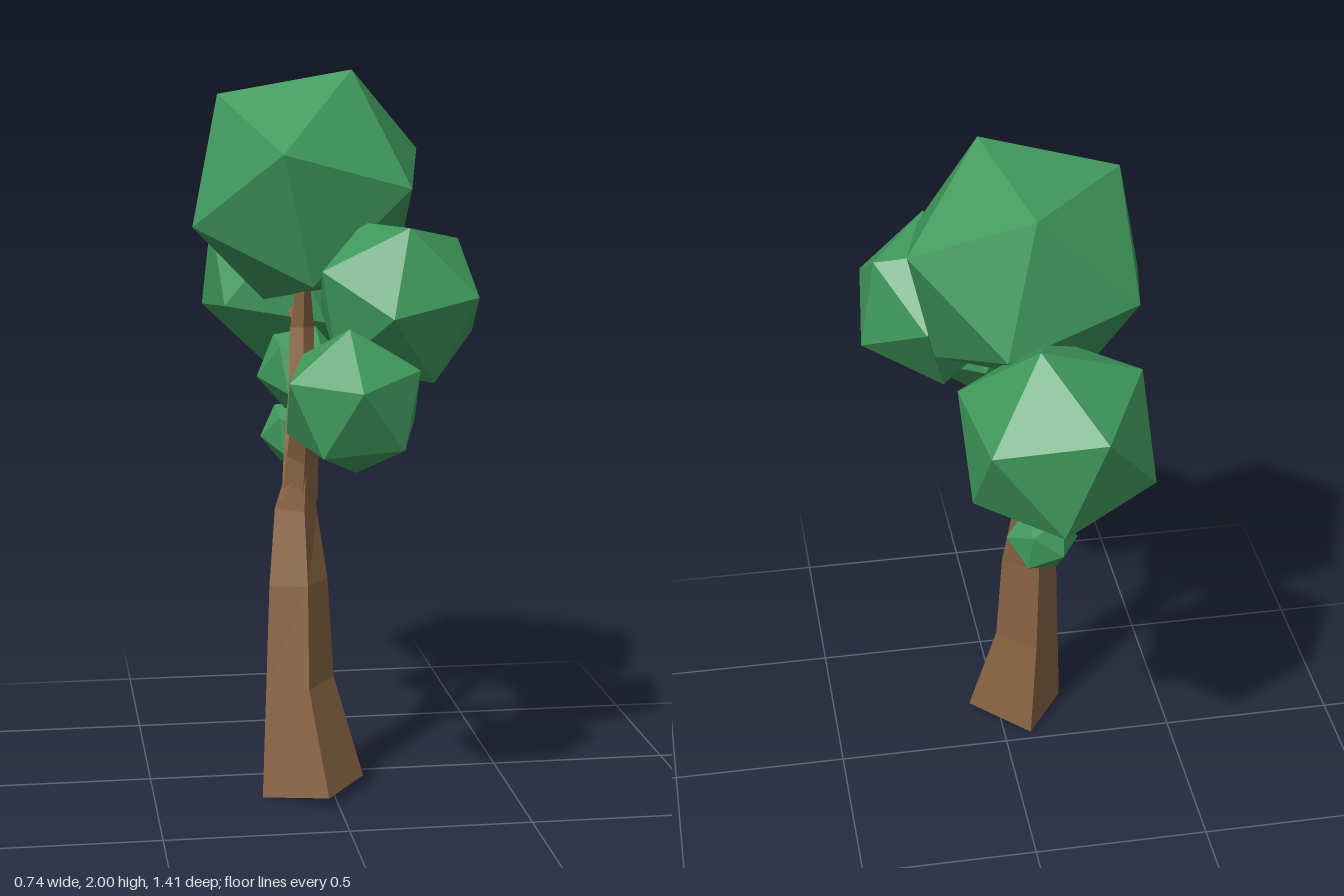
import * as THREE from 'three';

const V = (p) => new THREE.Vector3(...p);
const bark = new THREE.MeshStandardMaterial({ color: 0x8a6544, flatShading: true });
const leaf = new THREE.MeshStandardMaterial({ color: 0x3f985b, flatShading: true });

// Skin a list of four-cornered rings, closed at both ends
function loft(name, rings) {
  const pos = [];
  const quad = (a, b, c, d) => [a, b, c, a, c, d].forEach((p) => pos.push(p.x, p.y, p.z));
  for (let r = 0; r < rings.length - 1; r++) {
    for (let i = 0; i < 4; i++) {
      const j = (i + 1) % 4;
      quad(rings[r][i], rings[r][j], rings[r + 1][j], rings[r + 1][i]);
    }
  }
  quad(...[...rings[0]].reverse());
  quad(...rings[rings.length - 1]);
  const geo = new THREE.BufferGeometry();
  geo.setAttribute('position', new THREE.Float32BufferAttribute(pos, 3));
  geo.computeVertexNormals();
  const mesh = new THREE.Mesh(geo, bark);
  mesh.name = name;
  return mesh;
}

// Tapered four-sided branch; each point is x, y, z, radius
function limb(name, pts) {
  const axis = pts.map((p) => V(p.slice(0, 3)));
  return loft(name, axis.map((c, i) => {
    const d = axis[Math.min(i + 1, axis.length - 1)].clone()
      .sub(axis[Math.max(i - 1, 0)]).normalize();
    const v = d.clone().cross(V([1, 0, 0])).normalize();
    const u = v.clone().cross(d);
    const r = pts[i][3];
    return [[u, r], [v, r], [u, -r], [v, -r]].map(([e, s]) => c.clone().addScaledVector(e, s));
  }));
}

// Orthonormal frame from two directions
function frame(a, b) {
  const x = V(a).normalize();
  const z = x.clone().cross(V(b)).normalize();
  return new THREE.Matrix4().makeBasis(x, z.clone().cross(x), z);
}

// Icosahedral leaf clump, turned so two neighbouring corners point along a and b
function clump(name, centre, radius, a, b) {
  const t = (1 + Math.sqrt(5)) / 2;
  const geo = new THREE.IcosahedronGeometry(radius, 0);
  geo.applyMatrix4(frame(a, b).multiply(frame([-1, t, 0], [1, t, 0]).transpose()));
  const mesh = new THREE.Mesh(geo, leaf);
  mesh.position.set(...centre);
  mesh.name = name;
  return mesh;
}

export function createModel() {
  const tree = new THREE.Group();
  tree.name = 'tree';

  // Trunk: corners run front, +x side, back, -x side
  const trunkRings = [
    [[-0.03, 0.03, 0.32], [0.09, 0.035, 0.155], [-0.08, 0, 0.03], [-0.2, 0, 0.2]],
    [[-0.075, 0.32, 0.245], [0.01, 0.32, 0.127], [-0.1, 0.3, 0.053], [-0.185, 0.3, 0.165]],
    [[-0.072, 0.6, 0.2], [-0.005, 0.6, 0.11], [-0.105, 0.59, 0.05], [-0.172, 0.59, 0.14]],
    [[-0.075, 0.8, 0.152], [-0.03, 0.78, 0.08], [-0.1, 0.79, 0.025], [-0.15, 0.8, 0.09]],
    [[-0.07, 0.93, 0.145], [-0.04, 0.9, 0.08], [-0.09, 0.9, 0.03], [-0.11, 0.93, 0.09]],
  ];
  tree.add(loft('trunk', trunkRings.map((r) => r.map(V))));

  // Branches and twigs
  tree.add(
    limb('frontBranch', [[-0.08, 0.82, 0.09, 0.05], [-0.075, 0.95, 0.115, 0.044],
      [-0.075, 1.16, 0.22, 0.036], [0.02, 1.27, 0.27, 0.025], [0.12, 1.36, 0.29, 0.018]]),
    limb('frontTwig', [[-0.075, 1.11, 0.2, 0.03], [-0.095, 1.18, 0.33, 0.023],
      [-0.08, 1.19, 0.4, 0.02], [0, 1.17, 0.5, 0.016]]),
    limb('upperBranch', [[-0.08, 0.82, 0.08, 0.05], [-0.075, 0.95, 0.045, 0.044],
      [-0.06, 1.12, -0.025, 0.036], [-0.05, 1.28, -0.085, 0.034], [-0.05, 1.4, -0.055, 0.02],
      [-0.05, 1.5, -0.05, 0.016]]),
    limb('upperTwig', [[-0.05, 1.26, -0.07, 0.03], [-0.05, 1.295, -0.12, 0.025],
      [-0.05, 1.305, -0.23, 0.02], [-0.05, 1.34, -0.4, 0.016]]),
    limb('backBranch', [[-0.08, 0.83, 0.07, 0.05], [-0.07, 0.89, 0, 0.04],
      [-0.06, 0.925, -0.1, 0.03], [-0.05, 0.945, -0.18, 0.02], [-0.05, 0.945, -0.27, 0.015]]),
    limb('backTwig', [[-0.06, 0.92, -0.09, 0.025], [-0.05, 0.98, -0.16, 0.022],
      [-0.04, 1.04, -0.21, 0.018], [-0.03, 1.11, -0.25, 0.015]]),
  );

  // Foliage
  tree.add(
    clump('crownFoliage', [-0.04, 1.677, -0.06], 0.358, [0.11, 0.323, 0.1], [-0.25, 0.26, 0.01]),
    clump('frontUpperFoliage', [0.16, 1.397, 0.29], 0.245, [-0.05, -0.015, 0.236], [0.015, 0.225, 0.105]),
    clump('frontLowerFoliage', [0.005, 1.168, 0.51], 0.2, [-0.015, 0.195, 0.04], [0, 0.03, 0.19]),
    clump('backFoliage', [-0.05, 1.387, -0.466], 0.28, [0.05, 0.273, -0.034], [-0.084, 0.118, -0.239]),
    clump('smallUpperFoliage', [-0.03, 1.135, -0.26], 0.132, [0.95, 0.15, 0], [0.35, 0.95, 0.1]),
    clump('smallLowerFoliage', [-0.05, 0.945, -0.278], 0.099, [0.98, 0.1, 0], [0.4, 0.9, 0.2]),
  );
  return tree;
}
